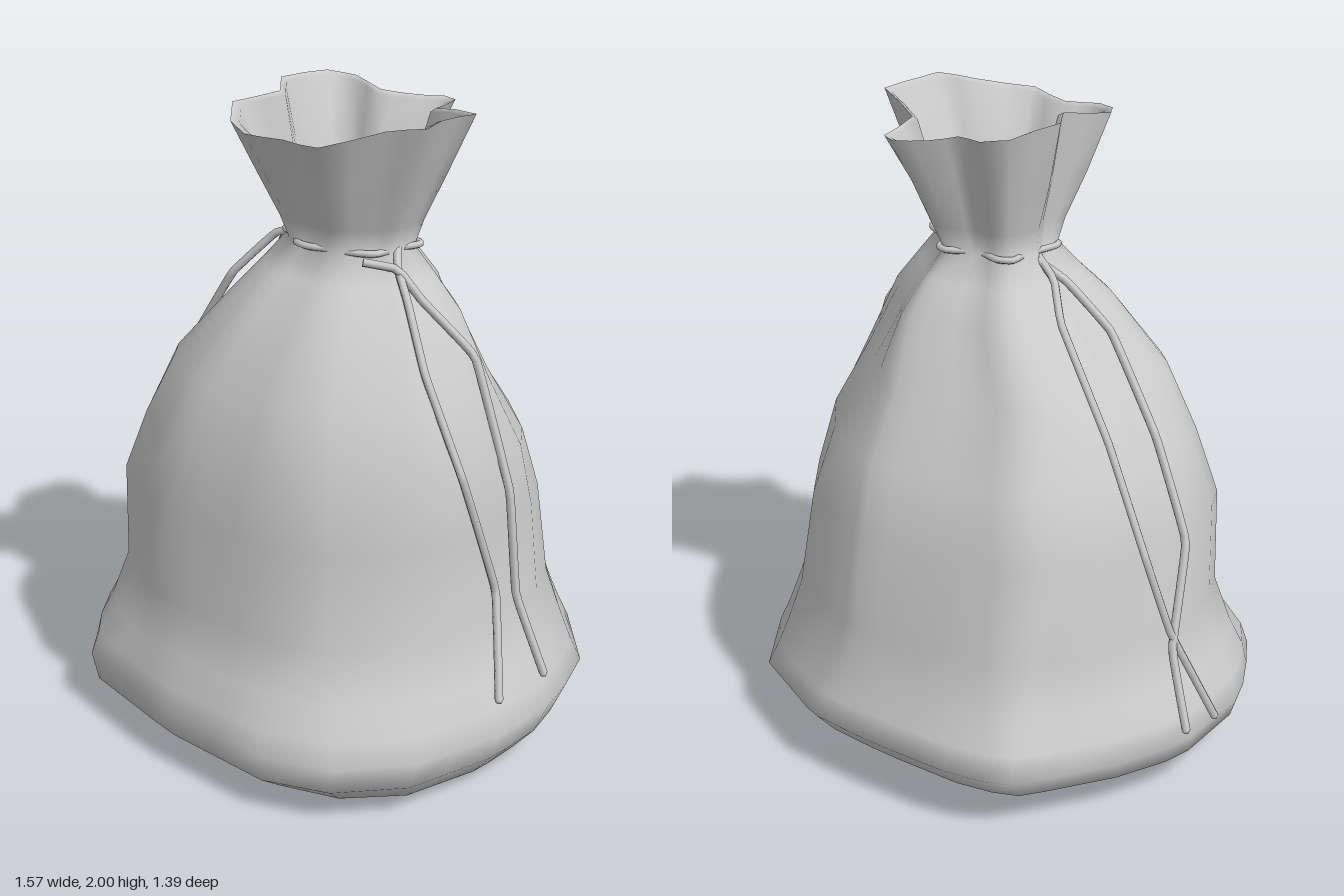
import * as THREE from 'three';

// outlines as x, z pairs, running back, right, front, left; scaled to a unit box
const unit = (points, cx, cz, rx, rz) => points.map(([x, z]) => [(x - cx) / rx, (z - cz) / rz]);
const BASE = unit([
  [-0.745, -0.09], [-0.6, -0.48], [-0.48, -0.57], [-0.14, -0.66], [0.1, -0.7], [0.48, -0.62],
  [0.63, -0.5], [0.77, -0.19], [0.785, 0.06], [0.72, 0.38], [0.61, 0.55], [0.4, 0.67],
  [-0.03, 0.695], [-0.46, 0.64], [-0.67, 0.39], [-0.745, 0.1],
], 0.02, 0, 0.765, 0.695);
const WAIST = unit([
  [-0.61, -0.1], [-0.48, -0.37], [-0.33, -0.45], [0, -0.57], [0.28, -0.55], [0.48, -0.46],
  [0.63, -0.2], [0.635, 0.2], [0.51, 0.42], [0.37, 0.54], [-0.02, 0.61], [-0.2, 0.6],
  [-0.48, 0.47], [-0.61, 0.2],
], 0.01, 0.02, 0.625, 0.59);
const RIM = unit([
  [-0.19, -0.15], [-0.12, -0.2], [0, -0.18], [0.06, -0.24], [0.14, -0.31], [0.19, -0.3],
  [0.25, -0.15], [0.45, -0.1], [0.45, 0.04], [0.47, 0.12], [0.38, 0.19], [0.28, 0.35],
  [0.13, 0.34], [0.03, 0.39], [-0.06, 0.36], [-0.15, 0.27], [-0.1, 0.13], [-0.19, 0.04],
], 0.14, 0.04, 0.33, 0.35);

// rings: y, xMin, xMax, zMin, zMax, then weights of base, waist and rim outline (rest is round)
const RINGS = [
  [0.015, -0.47, 0.52, -0.42, 0.41, 1, 0, 0],
  [0.05, -0.6, 0.69, -0.53, 0.59, 1, 0, 0],
  [0.12, -0.7, 0.765, -0.62, 0.695, 1, 0, 0],
  [0.2, -0.74, 0.785, -0.69, 0.7, 1, 0, 0],
  [0.27, -0.72, 0.755, -0.66, 0.685, 0.85, 0.15, 0],
  [0.36, -0.675, 0.715, -0.625, 0.645, 0.5, 0.5, 0],
  [0.5, -0.615, 0.65, -0.59, 0.605, 0.1, 0.9, 0],
  [0.8, -0.605, 0.635, -0.55, 0.6, 0, 0.95, 0.05],
  [1.0, -0.52, 0.62, -0.48, 0.56, 0, 0.8, 0.15],
  [1.2, -0.41, 0.55, -0.37, 0.5, 0, 0.55, 0.28],
  [1.4, -0.24, 0.44, -0.29, 0.37, 0, 0.25, 0.45],
  [1.5, -0.16, 0.36, -0.21, 0.27, 0, 0.1, 0.5],
  [1.58, -0.1, 0.3, -0.14, 0.2, 0, 0, 0.45],
  [1.66, -0.105, 0.325, -0.175, 0.24, 0, 0, 0.6],
  [1.8, -0.145, 0.39, -0.235, 0.31, 0, 0, 0.85],
  [1.96, -0.19, 0.475, -0.31, 0.39, 0, 0, 1],
];
const [NECK, THROAT, FLARE, MOUTH] = RINGS.slice(12);

// column angles: every rim point and the midpoint to the next
const ANGLES = RIM.flatMap(([x, z], i) => {
  const [u, v] = RIM[(i + 1) % RIM.length];
  return [Math.atan2(z, x), Math.atan2(z + v, x + u)];
});

// distance from the centre to an outline in a given direction
function reach(outline, a) {
  const c = Math.cos(a), s = Math.sin(a);
  for (let i = 0; i < outline.length; i++) {
    const [x, z] = outline[i], [u, v] = outline[(i + 1) % outline.length];
    if (x * s - z * c >= -1e-9 && c * v - s * u > 1e-9 && x * c + z * s > 0) {
      return (x * v - z * u) / (c * (v - z) - s * (u - x));
    }
  }
  return 1;
}

function ringPoint([y, x0, x1, z0, z1, base, waist, rim], a, scale = 1, dy = 0) {
  const c = Math.cos(a), s = Math.sin(a);
  const r = scale * (base * reach(BASE, a) + waist * reach(WAIST, a) + rim * reach(RIM, a) + 1 - base - waist - rim);
  const x = (x0 + x1) / 2 + r * c * (x1 - x0) / 2;
  // base tilts a little, rim rises at both sides
  const lift = y < 0.1 ? -0.025 * x : y > 1.9 ? 0.06 * c * c - 0.02 : 0;
  return new THREE.Vector3(x, y + lift + dy, (z0 + z1) / 2 + r * s * (z1 - z0) / 2);
}

// skin through closed rows of points, with a cap over the first row
function loft(rows) {
  const n = rows[0].length, pos = rows.flat().flatMap((p) => p.toArray()), idx = [];
  for (let j = 0; j < rows.length - 1; j++) {
    for (let i = 0; i < n; i++) {
      const a = j * n + i, b = j * n + (i + 1) % n;
      idx.push(a, a + n, b, b, a + n, b + n);
    }
  }
  const centre = new THREE.Vector3();
  rows[0].forEach((p) => centre.addScaledVector(p, 1 / n));
  pos.push(...centre.toArray());
  for (let i = 0; i < n; i++) idx.push(rows.length * n, i, (i + 1) % n);
  const g = new THREE.BufferGeometry();
  g.setAttribute('position', new THREE.Float32BufferAttribute(pos, 3));
  g.setIndex(idx);
  g.computeVertexNormals();
  return g;
}

export function createModel() {
  const group = new THREE.Group();
  const material = new THREE.MeshStandardMaterial({ color: 0xcccccc, side: THREE.DoubleSide });
  const add = (name, geometry) => {
    const mesh = new THREE.Mesh(geometry, material);
    mesh.name = name;
    group.add(mesh);
  };

  // sack with flared, ruffled mouth
  add('sack', loft(RINGS.map((ring) => ANGLES.map((a) => ringPoint(ring, a)))));

  // lining from the lip down to the gathered throat
  const lining = [[THROAT, 0.4, -0.07], [THROAT, 0.72, -0.03], [THROAT, 0.9, 0.03], [FLARE, 0.92, 0],
    [MOUTH, 0.93, -0.01], [MOUTH, 1, 0]];
  add('lining', loft(lining.map(([ring, scale, dy]) => ANGLES.map((a) => ringPoint(ring, a, scale, dy)))));

  // drawstring weaving in and out of the neck
  const weave = ANGLES.map((a) => ringPoint(NECK, a, 0.99 + 0.1 * Math.sin(6 * a + 4.2), 0.005));
  const loop = new THREE.CatmullRomCurve3(weave, true);
  add('neckCord', new THREE.TubeGeometry(loop, 108, 0.011, 6, true));

  // loose cord ends hanging on both sides
  const strands = {
    rightCordFront: [[-0.08, 1.57, 0.03], [-0.2, 1.52, 0.06], [-0.32, 1.38, 0.13], [-0.5, 1.1, 0.15],
      [-0.63, 0.8, 0.16], [-0.69, 0.5, 0.06], [-0.78, 0.27, 0.04]],
    rightCordBack: [[-0.08, 1.57, 0.05], [-0.19, 1.53, 0.02], [-0.28, 1.43, -0.03], [-0.48, 1.12, -0.02],
      [-0.64, 0.8, -0.01], [-0.68, 0.55, 0.06], [-0.73, 0.23, 0.21]],
    leftCordFront: [[0.28, 1.6, 0.03], [0.33, 1.55, 0.08], [0.4, 1.47, 0.11], [0.51, 1.29, 0.15],
      [0.645, 1, 0.13], [0.66, 0.6, -0.01], [0.765, 0.31, 0.08]],
    leftCordBack: [[0.27, 1.57, 0.16], [0.34, 1.55, 0.09], [0.4, 1.46, 0.05], [0.52, 1.29, -0.05],
      [0.65, 0.9, -0.07], [0.68, 0.57, -0.08], [0.765, 0.32, -0.12]],
  };
  for (const [name, points] of Object.entries(strands)) {
    const path = new THREE.CatmullRomCurve3(points.map((p) => new THREE.Vector3(...p)), false, 'catmullrom', 0.1);
    add(name, new THREE.TubeGeometry(path, 48, 0.013, 6));
    // round tips at the free ends
    const tip = new THREE.SphereGeometry(0.013, 6, 4);
    tip.translate(...points[points.length - 1]);
    add(name + 'Tip', tip);
  }
  return group;
}
